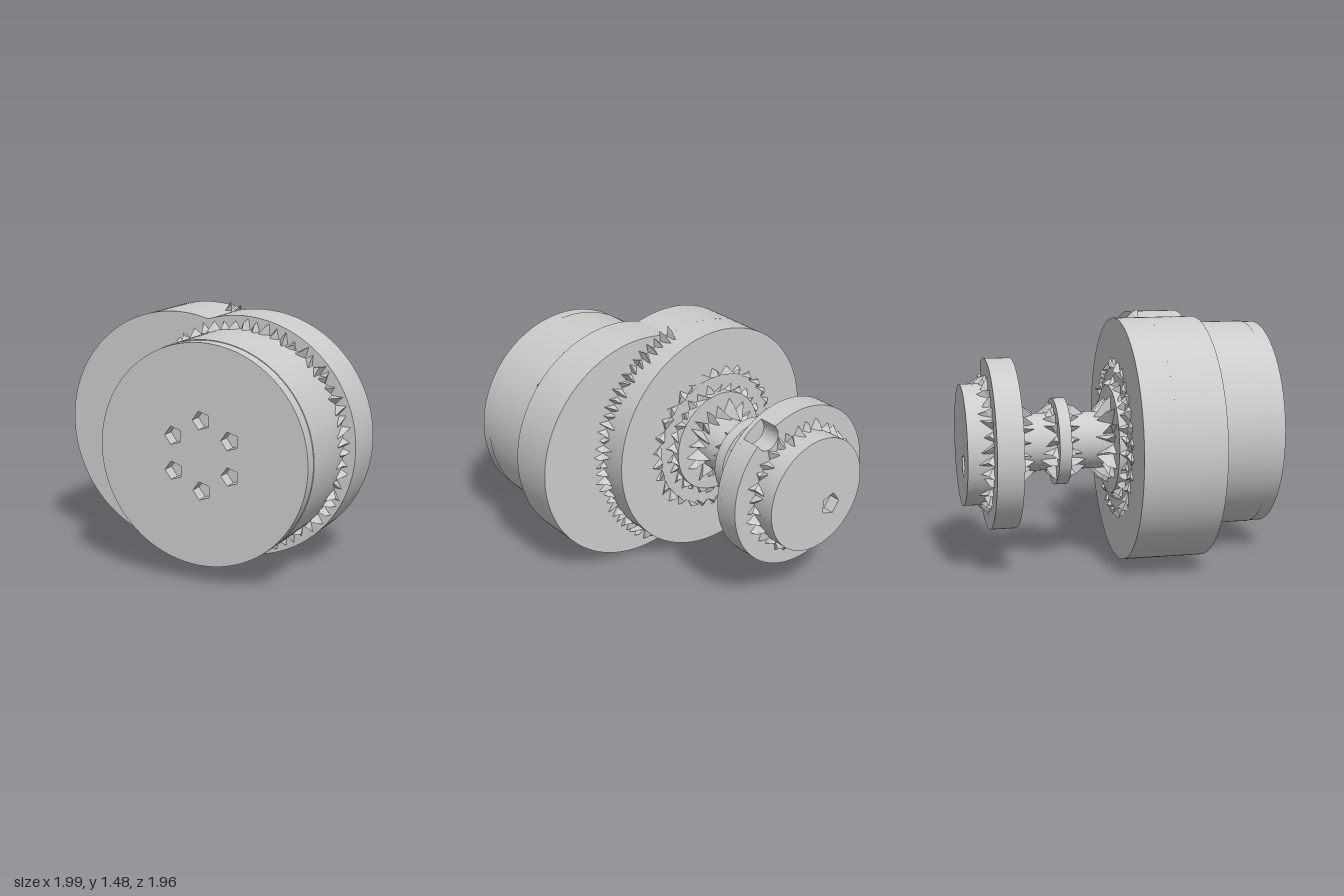
import * as THREE from 'three';
import { toCreasedNormals } from 'three/addons/utils/BufferGeometryUtils.js';

const MAIN_X = -0.133;  // axis of the drum
const CRANK_X = 0.288;  // offset axis of the shaft
const AXIS_Y = 0.716;
const TAU = Math.PI * 2;

export function createModel() {
  const model = new THREE.Group();
  // Local z runs along the shaft; the whole assembly stands turned about y.
  model.rotation.y = THREE.MathUtils.degToRad(105);

  const material = new THREE.MeshStandardMaterial({ color: 0xcccccc });
  const jaggedMaterial = new THREE.MeshStandardMaterial({
    color: 0xcccccc, flatShading: true, side: THREE.DoubleSide,
  });

  let seed = 7;
  const random = () => {
    seed = (seed * 16807) % 2147483647;
    return seed / 2147483647;
  };

  function add(name, geometry, x, z, mat = material) {
    const mesh = new THREE.Mesh(geometry, mat);
    mesh.name = name;
    mesh.position.set(x, AXIS_Y, z);
    model.add(mesh);
  }

  // Extrude an outline from z0 to z1.
  function slab(name, shape, x, z0, z1) {
    const geometry = new THREE.ExtrudeGeometry(shape, {
      depth: z1 - z0, bevelEnabled: false, curveSegments: 64,
    });
    add(name, toCreasedNormals(geometry, 0.5), x, z0);
  }

  const circle = (r) => new THREE.Shape().absarc(0, 0, r, 0, TAU, false);

  function polygonHole(x, y, r, sides) {
    const points = [];
    for (let i = 0; i < sides; i++) {
      const a = -i / sides * TAU;
      points.push(new THREE.Vector2(x + r * Math.cos(a), y + r * Math.sin(a)));
    }
    return new THREE.Path(points);
  }

  // Broken fillet: pointed wedges in the corner between a shaft of radius r and a face at z.
  // A negative height points the wedges towards -z.
  function jaggedFillet(name, x, z, r, width, height, count, from = 0, to = TAU) {
    const positions = [];
    const step = (to - from) / count;
    const point = (radius, a, h) => [radius * Math.cos(a), radius * Math.sin(a), h];
    for (let i = 0; i < count; i++) {
      const a = from + i * step;
      const w = width * (0.55 + 0.45 * random());
      const h = height * (0.5 + 0.5 * random());
      const p = point(r - 0.01, a, 0);
      const q = point(r - 0.01, a + step, 0);
      const foot = point(r + w, a + step * (0.2 + 0.6 * random()), 0);
      const tip = point(r + 0.005, a + step * random(), h);
      const crest = point(r + w * 0.7, a + step * 0.5, h * 0.45);
      positions.push(...p, ...foot, ...crest, ...p, ...crest, ...tip,
        ...foot, ...q, ...crest, ...crest, ...q, ...tip);
    }
    const geometry = new THREE.BufferGeometry();
    geometry.setAttribute('position', new THREE.Float32BufferAttribute(positions, 3));
    geometry.computeVertexNormals();
    add(name, geometry, x, z, jaggedMaterial);
  }

  // Drum with a ring of blind holes in its end cap
  slab('drum', circle(0.638), MAIN_X, -0.82, -0.38);
  const cap = circle(0.634);
  for (let i = 0; i < 6; i++) {
    const a = (i + 0.5) / 6 * TAU;
    cap.holes.push(polygonHole(0.2 * Math.cos(a), 0.2 * Math.sin(a), 0.055, 5));
  }
  slab('drumEndCap', cap, MAIN_X, -0.897, -0.82);

  // Web: two overlapping equal discs, the drum's and the crank's
  const webRadius = 0.714;
  const meet = Math.acos((CRANK_X - MAIN_X) / 2 / webRadius);
  const web = new THREE.Shape();
  web.absarc(CRANK_X, 0, webRadius, meet - Math.PI, Math.PI - meet, false);
  web.absarc(MAIN_X, 0, webRadius, meet, TAU - meet, false);
  slab('web', web, 0, -0.384, -0.092);
  slab('crankDisc', circle(webRadius), CRANK_X, -0.092, 0.093);
  jaggedFillet('drumFillet', MAIN_X, -0.384, 0.638, 0.065, -0.1, 64);
  jaggedFillet('crankDiscFillet', CRANK_X, -0.092, webRadius, 0.07, 0.09, 36,
    Math.PI * 0.58, Math.PI * 1.42);

  // Collar and a ring of broken studs on the crank disc
  slab('collar', circle(0.32), CRANK_X, 0.093, 0.14);
  jaggedFillet('collarFillet', CRANK_X, 0.093, 0.32, 0.06, 0.06, 28);
  jaggedFillet('collarStuds', CRANK_X, 0.093, 0.43, 0.06, 0.05, 30);

  // Neck with its middle flange
  slab('neck', circle(0.168), CRANK_X, 0.13, 0.72);
  slab('neckFlange', circle(0.254), CRANK_X, 0.402, 0.472);
  jaggedFillet('neckBaseFillet', CRANK_X, 0.14, 0.168, 0.12, 0.12, 18);
  jaggedFillet('flangeBackFillet', CRANK_X, 0.402, 0.168, 0.08, -0.11, 16);
  jaggedFillet('flangeFrontFillet', CRANK_X, 0.472, 0.168, 0.08, 0.1, 16);
  jaggedFillet('neckEndFillet', CRANK_X, 0.712, 0.168, 0.1, -0.14, 18);

  // End disc: thin full plate, then a thicker plate with a bite out of its rim
  const bite = THREE.MathUtils.degToRad(124);
  const spread = 0.075 / 0.48;
  const bitten = new THREE.Shape();
  bitten.absarc(0, 0, 0.497, bite + spread, bite - spread + TAU, false);
  bitten.absarc(0.47 * Math.cos(bite), 0.47 * Math.sin(bite), 0.075,
    bite - Math.PI / 2, bite - Math.PI * 1.5, true);
  slab('endDiscBack', circle(0.497), CRANK_X, 0.712, 0.745);
  slab('endDisc', bitten, CRANK_X, 0.745, 0.864);

  // End hub with a small pit in its face
  const hubFace = circle(0.352);
  hubFace.holes.push(polygonHole(0.115, -0.1, 0.07, 5));
  slab('endHub', circle(0.352), CRANK_X, 0.86, 0.94);
  slab('endHubFace', hubFace, CRANK_X, 0.94, 1.009);
  jaggedFillet('endHubFillet', CRANK_X, 0.864, 0.352, 0.07, 0.085, 32);

  const root = new THREE.Group();
  root.name = 'eccentricShaft';
  root.add(model);
  return root;
}
